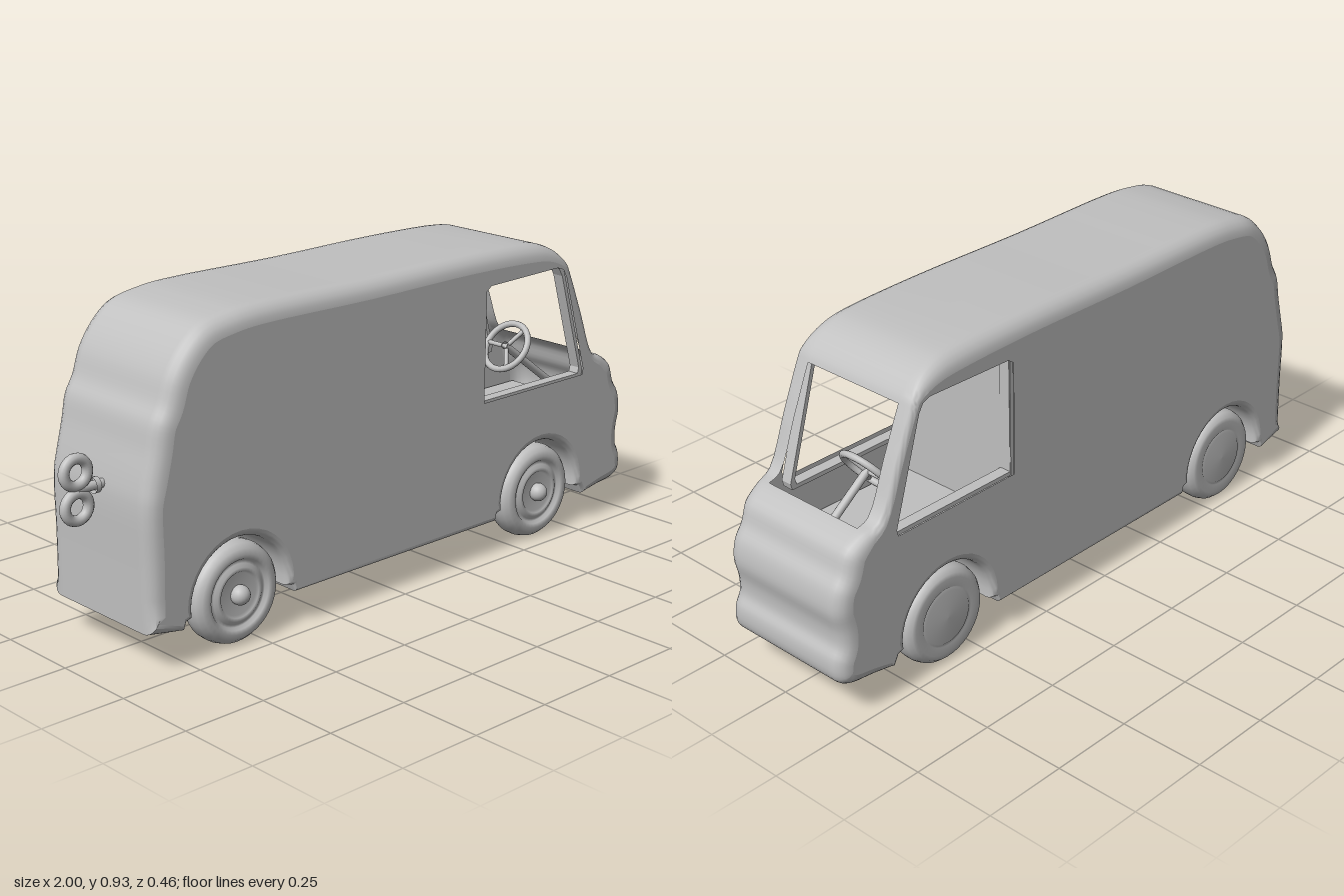
import * as THREE from 'three';
import { toCreasedNormals } from 'three/addons/utils/BufferGeometryUtils.js';

const W = 0.22;        // half width of the body
const PILLAR = 0.168;  // half width of the windscreen opening
const WHEEL_Y = 0.145;
const AXLES = [-0.57, 0.61];

export function createModel() {
  const model = new THREE.Group();
  const grey = new THREE.MeshStandardMaterial({ color: 0xc0c0c0, side: THREE.DoubleSide });
  grey.name = 'grey tin';

  const van = new THREE.Group();
  van.name = 'van';
  van.position.z = -0.01;
  model.add(van);

  const add = (name, geometry, parent = van) => {
    const mesh = new THREE.Mesh(geometry, grey);
    mesh.name = name;
    parent.add(mesh);
    return mesh;
  };
  const rod = (name, from, to, radius, parent = van) => {
    const curve = new THREE.LineCurve3(new THREE.Vector3(...from), new THREE.Vector3(...to));
    return add(name, new THREE.TubeGeometry(curve, 1, radius, 12), parent);
  };

  // Side outline from rear bottom over the roof to the nose: x, y, edge radius
  const upper = new THREE.CatmullRomCurve3([
    [-0.87, 0.11, 0.04], [-0.87, 0.3, 0.045], [-0.87, 0.46, 0.045], [-0.86, 0.52, 0.05],
    [-0.84, 0.6, 0.05], [-0.825, 0.67, 0.05], [-0.8, 0.715, 0.05], [-0.775, 0.785, 0.05],
    [-0.73, 0.85, 0.05], [-0.67, 0.898, 0.05], [-0.58, 0.918, 0.05], [-0.49, 0.925, 0.05],
    [-0.1, 0.922, 0.05], [0.3, 0.925, 0.05], [0.56, 0.917, 0.05], [0.62, 0.905, 0.045],
    [0.67, 0.88, 0.035], [0.71, 0.84, 0.02], [0.725, 0.81, 0.018], [0.78, 0.68, 0.018],
    [0.84, 0.54, 0.02], [0.89, 0.52, 0.035], [0.94, 0.485, 0.045], [0.96, 0.43, 0.045],
    [0.985, 0.39, 0.045], [0.995, 0.33, 0.045], [0.983, 0.27, 0.045], [0.984, 0.225, 0.045],
    [1.0, 0.19, 0.045], [0.998, 0.135, 0.04], [0.97, 0.11, 0.035], [0.88, 0.1, 0.025],
    [0.81, 0.093, 0.015],
  ].map((p) => new THREE.Vector3(...p)), false, 'centripetal');
  const outline = upper.getPoints(128);

  // Underside with the two wheel arches, nose to rear
  for (const cx of [...AXLES].reverse()) {
    outline.push(new THREE.Vector3(cx + 0.185, 0.122, 0.015));
    for (let i = 0; i <= 20; i++) {
      const a = -0.12 + (Math.PI + 0.24) * i / 20;
      outline.push(new THREE.Vector3(cx + 0.163 * Math.cos(a), 0.145 + 0.163 * Math.sin(a), 0.022));
    }
    outline.push(new THREE.Vector3(cx - 0.185, 0.122, 0.015), new THREE.Vector3(cx - 0.195, 0.1, 0.015));
    if (cx > 0) outline.push(new THREE.Vector3(-0.375, 0.1, 0.015));
  }

  // Skin: the outline swept across the width, rolled inwards at both sides
  const n = outline.length;
  const steps = 5;
  const rows = [];
  for (let k = steps; k >= 0; k--) rows.push([-1, k / steps * Math.PI / 2]);
  rows.push([-1, null], [1, null]);
  for (let k = 0; k <= steps; k++) rows.push([1, k / steps * Math.PI / 2]);
  const positions = [], indices = [], inset = [];
  outline.forEach((p, i) => {
    const t = outline[(i + 1) % n].clone().sub(outline[(i + n - 1) % n]).setZ(0).normalize();
    for (const [side, angle] of rows) {
      const d = angle === null ? 0 : p.z * (1 - Math.cos(angle));
      const z = angle === null ? PILLAR : W - p.z + p.z * Math.sin(angle);
      positions.push(p.x + t.y * d, p.y - t.x * d, side * z);
    }
    inset.push(new THREE.Vector2(p.x + t.y * p.z, p.y - t.x * p.z));
    const q = outline[(i + 1) % n];
    const mx = (p.x + q.x) / 2, my = (p.y + q.y) / 2;
    const open = mx > 0.715 && mx < 0.88 && my > 0.525 && my < 0.815;
    for (let j = 0; j < rows.length - 1; j++) {
      if (open && j === steps + 1) continue; // windscreen opening
      const a = i * rows.length + j, b = ((i + 1) % n) * rows.length + j;
      indices.push(a, a + 1, b, b, a + 1, b + 1);
    }
  });
  const skin = new THREE.BufferGeometry();
  skin.setAttribute('position', new THREE.Float32BufferAttribute(positions, 3));
  skin.setIndex(indices);
  add('bodySkin', toCreasedNormals(skin, 0.7));

  // Side panels with the cab window
  const windowPoints = [[0.355, 0.482], [0.785, 0.482], [0.79, 0.5], [0.7, 0.8], [0.685, 0.825],
    [0.66, 0.834], [0.375, 0.828], [0.357, 0.815]].map(([x, y]) => new THREE.Vector2(x, y));
  const panelShape = new THREE.Shape(inset);
  panelShape.holes.push(new THREE.Path(windowPoints));
  const frameShape = new THREE.Shape(windowPoints.map((p) =>
    new THREE.Vector2(0.56 + (p.x - 0.56) * 1.07, 0.66 + (p.y - 0.66) * 1.07)));
  frameShape.holes.push(new THREE.Path(windowPoints));
  for (const side of [1, -1]) {
    const panel = new THREE.ShapeGeometry(panelShape);
    if (side < 0) {
      panel.scale(1, 1, -1);
      panel.index.array.reverse();
    }
    add('sidePanel', panel).position.z = side * W;
    const frame = new THREE.ExtrudeGeometry(frameShape, { depth: 0.035, bevelEnabled: false });
    add('windowFrame', frame).position.z = side > 0 ? PILLAR : -PILLAR - 0.035;
  }

  // Cab interior
  add('bulkhead', new THREE.BoxGeometry(0.012, 0.57, 0.41)).position.set(0.348, 0.62, 0);
  add('cabFloor', new THREE.BoxGeometry(0.6, 0.012, 0.42)).position.set(0.65, 0.33, 0);

  // Steering wheel with three spokes on a sloping column
  const steering = new THREE.Group();
  steering.name = 'steeringWheel';
  steering.position.set(0.685, 0.545, 0);
  steering.rotation.set(0, Math.PI / 2, 0);
  steering.rotateX(0.64);
  van.add(steering);
  add('steeringRim', new THREE.TorusGeometry(0.077, 0.01, 10, 32), steering);
  for (const a of [0, 2.1, 4.2]) {
    rod('steeringSpoke', [0, 0, 0], [0.075 * Math.cos(a), 0.075 * Math.sin(a), 0], 0.007, steering);
  }
  rod('steeringColumn', [0, 0, -0.01], [0, 0, 0.27], 0.012, steering);

  // Wheels: grooved discs with hubs on the left, plain domes on the right
  const lathe = (profile) => new THREE.LatheGeometry(profile.map((p) => new THREE.Vector2(...p)), 40);
  const tyre = [[0, -0.038], [0.09, -0.041], [0.118, -0.046], [0.135, -0.036], [0.144, -0.016],
    [0.145, 0.008], [0.14, 0.028], [0.128, 0.042]];
  const grooved = [...tyre, [0.112, 0.047], [0.1, 0.044], [0.094, 0.034], [0.086, 0.036],
    [0.076, 0.043], [0.066, 0.043], [0.06, 0.036], [0, 0.036]];
  const domed = [...tyre, [0.115, 0.043], [0.09, 0.044], [0.086, 0.041], [0.08, 0.046], [0, 0.049]];
  for (const x of AXLES) {
    const left = add('leftWheel', lathe(grooved).rotateX(Math.PI / 2));
    left.position.set(x, WHEEL_Y, 0.168);
    add('hub', new THREE.SphereGeometry(0.028, 20, 14)).position.set(x, WHEEL_Y, 0.212);
    const right = add('rightWheel', lathe(domed).rotateX(-Math.PI / 2));
    right.position.set(x, WHEEL_Y, -0.166);
    rod('axle', [x, WHEEL_Y, -0.15], [x, WHEEL_Y, 0.15], 0.018);
  }

  // Wind-up key at the rear
  const key = new THREE.Group();
  key.name = 'windUpKey';
  key.position.set(-0.948, 0.483, 0.02);
  van.add(key);
  for (const s of [1, -1]) {
    const ring = add('keyRing', new THREE.TorusGeometry(0.037, 0.015, 12, 28), key);
    ring.position.y = s * 0.047;
  }
  rod('keyShaft', [0, 0, 0], [0.1, 0, 0], 0.013, key);
  rod('keyCollar', [0.05, 0, 0], [0.066, 0, 0], 0.022, key);

  return model;
}
